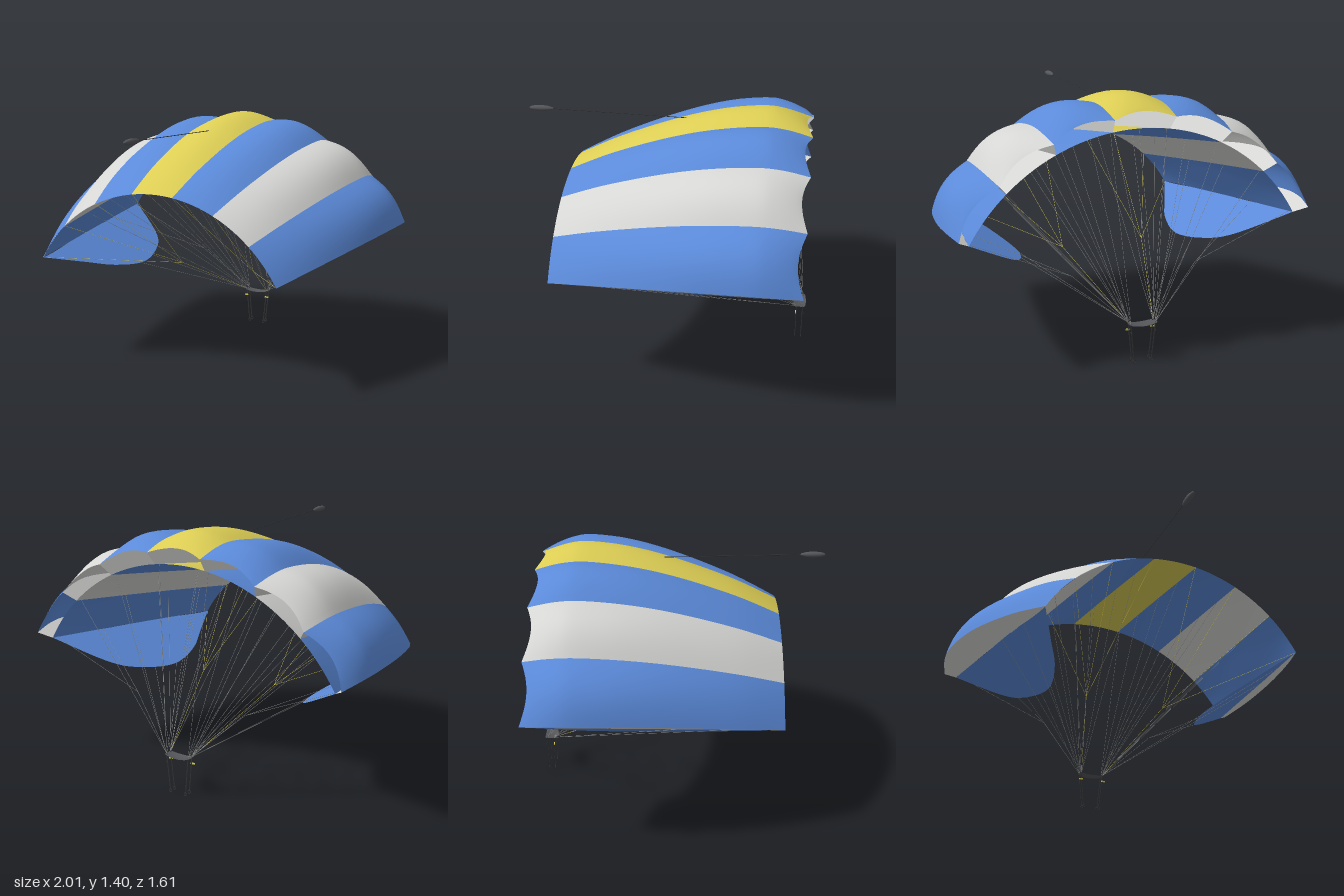
import * as THREE from 'three';

const mat = (name, color, side = THREE.DoubleSide) => {
  const m = new THREE.MeshStandardMaterial({ color, side });
  m.name = name;
  return m;
};

export function createModel() {
  const blue = mat('blue cloth', 0x5b8ad9);
  const white = mat('white cloth', 0xd6d6d4);
  const yellow = mat('yellow cloth', 0xdccd54);
  const dark = mat('dark grey fabric', 0x55565a);
  const webbing = mat('black webbing', 0x333436);
  const cord = mat('grey cord', 0x8a8a88);

  const model = new THREE.Group();
  model.name = 'ramAirParachute';
  const add = (name, geometry, material, parent = model) => {
    const mesh = new THREE.Mesh(geometry, material);
    mesh.name = name;
    parent.add(mesh);
    return mesh;
  };
  const group = (name) => {
    const g = new THREE.Group();
    g.name = name;
    model.add(g);
    return g;
  };

  // Surface swept by a rule f(u, v) -> Vector3
  const surface = (f, nu, nv) => {
    const pos = [], index = [];
    for (let j = 0; j <= nv; j++) {
      for (let i = 0; i <= nu; i++) pos.push(...f(i / nu, j / nv).toArray());
    }
    for (let j = 0; j < nv; j++) {
      for (let i = 0; i < nu; i++) {
        const a = j * (nu + 1) + i, b = a + 1, c = a + nu + 1, d = c + 1;
        index.push(a, c, b, b, c, d);
      }
    }
    const g = new THREE.BufferGeometry();
    g.setAttribute('position', new THREE.Float32BufferAttribute(pos, 3));
    g.setIndex(index);
    g.computeVertexNormals();
    return g;
  };

  // Straight cord between two points
  const line = (name, a, b, r, material, parent) => {
    const dir = b.clone().sub(a);
    const m = add(name, new THREE.CylinderGeometry(r, r, dir.length(), 5), material, parent);
    m.position.copy(a).add(b).multiplyScalar(0.5);
    m.quaternion.setFromUnitVectors(new THREE.Vector3(0, 1, 0), dir.normalize());
    return m;
  };

  // Everything fans out around an axis at harness height: (radius, angle, z)
  const polar = (r, a, z) => new THREE.Vector3(r * Math.sin(a), 0.2 + r * Math.cos(a), z);
  const spline = (pts) => new THREE.SplineCurve(pts.map((p) => new THREE.Vector2(...p)));
  const CELL = Math.PI / 3 / 3.5;

  // Rib profiles as (z, radius), nose to trailing edge
  const upper = spline([[-0.79, 1.11], [-0.65, 1.15], [-0.5, 1.16], [-0.25, 1.127],
    [0, 1.063], [0.3, 0.955], [0.545, 0.84]]);
  const lower = spline([[-0.735, 1.04], [-0.3, 0.975], [0.1, 0.912], [0.545, 0.838]]);
  const hem = spline([[-0.735, 1.04], [-0.56, 0.75], [-0.4, 0.63], [-0.15, 0.56],
    [0.1, 0.61], [0.3, 0.71], [0.545, 0.838]]);
  const lowerAt = (z) => lower.getPoint((z + 0.735) / 1.28).y;

  // Seven inflated cells: bulging top skin and flatter bottom skin
  const canopy = group('canopy');
  const colors = [yellow, blue, white, blue];
  for (let k = -3; k <= 3; k++) {
    const a0 = (k - 0.5) * CELL;
    const material = colors[Math.abs(k)];
    add('topPanel', surface((u, v) => {
      const p = upper.getPoint(v), s = Math.sin(Math.PI * u);
      const bulge = 0.036 * Math.min(1, (1 - v) * 1.8) * (0.55 + 0.45 * Math.min(1, v * 4));
      return polar(p.y + bulge * s, a0 + u * CELL, p.x + 0.037 * s * (1 - v) ** 6);
    }, 12, 30), material, canopy);
    add('bottomPanel', surface((u, v) => {
      const p = lower.getPoint(v), s = Math.sin(Math.PI * u);
      return polar(p.y - 0.01 * s * Math.sin(Math.PI * v), a0 + (1 - u) * CELL, p.x);
    }, 8, 20), material, canopy);
  }

  // Ribs between the cells
  for (let k = 0; k < 8; k++) {
    const a = (k - 3.5) * CELL;
    add('rib', surface((u, v) => {
      const p = upper.getPoint(v).lerp(lower.getPoint(v), u);
      return polar(p.y, a, p.x);
    }, 1, 24), white, canopy);
  }

  // Stabilizer panels hanging from both wing tips
  for (const s of [-1, 1]) {
    add('stabilizer', surface((u, v) => {
      const h = hem.getPoint(v);
      return polar(THREE.MathUtils.lerp(lowerAt(h.x), h.y, u), s * Math.PI / 3, h.x);
    }, 1, 32), blue, canopy);
  }

  // Suspension and brake lines, risers and toggles on each side
  const rigging = group('rigging');
  for (const s of [-1, 1]) {
    const V = (x, y, z) => new THREE.Vector3(s * x, y, z);
    const frontTop = V(0.07, 0.22, -0.79), rearTop = V(0.07, 0.22, -0.755);
    const tipFork = V(0.35, 0.48, -0.67);
    line('tipLine', frontTop, tipFork, 0.001, cord, rigging);
    for (let k = 0; k < 4; k++) {
      const a = s * (k + 0.5) * CELL;
      [-0.7, -0.36, 0, 0.28].forEach((z, i) => {
        const start = i > 1 ? rearTop : k === 3 ? tipFork : frontTop;
        line('suspensionLine', start, polar(lowerAt(z), a, z), 0.001, cord, rigging);
      });
    }

    // Brake line forks out to the trailing edge
    const fork = V(0.24, 0.49, -0.2);
    line('brakeLine', rearTop, fork, 0.001, yellow, rigging);
    for (let k = 0; k < 4; k++) {
      line('brakeFork', fork, polar(0.838, s * (k + 0.5) * CELL, 0.54), 0.001, yellow, rigging);
    }

    // Risers with end rings
    for (const z of [-0.79, -0.755]) {
      const riser = line('riser', V(0.07, 0.22, z), V(0.05, 0.018, z), 0.004, webbing, rigging);
      riser.scale.z = 0.5;
      const ring = add('riserRing', new THREE.TorusGeometry(0.008, 0.003, 6, 16), webbing, rigging);
      ring.position.copy(V(0.049, 0.011, z));
    }
    const toggle = add('brakeToggle', new THREE.BoxGeometry(0.024, 0.008, 0.005), yellow, rigging);
    toggle.position.copy(V(0.072, 0.18, -0.751));
    const guide = add('guideRing', new THREE.TorusGeometry(0.006, 0.0015, 6, 14), webbing, rigging);
    guide.position.copy(V(0.068, 0.175, -0.792));
    guide.rotation.y = Math.PI / 2;
  }

  // Slider: a small sagging cloth holding the line groups apart
  add('slider', surface((u, v) => {
    const x = (u - 0.5) * 2, w = (v - 0.5) * 2;
    const sag = (1 - x * x) * (1 - 0.4 * w * w);
    return new THREE.Vector3(x * 0.078, 0.219 - 0.016 * sag,
      -0.772 + w * (0.024 + 0.012 * Math.sqrt(Math.max(0, 1 - x * x))));
  }, 16, 6), dark);

  // Collapsed pilot chute trailing on its bridle
  const pilot = group('pilotChute');
  line('bridle', new THREE.Vector3(0, 1.318, -0.09), new THREE.Vector3(0, 1.335, 0.68), 0.002, webbing, pilot);
  const profile = [[0, -0.07], [0.006, -0.066], [0.014, -0.035], [0.017, 0],
    [0.014, 0.04], [0.008, 0.064], [0, 0.07]].map((p) => new THREE.Vector2(...p));
  const body = add('pilotBody', new THREE.LatheGeometry(profile, 20), dark, pilot);
  body.rotation.x = Math.PI / 2;
  body.position.set(0, 1.335, 0.732);

  return model;
}
